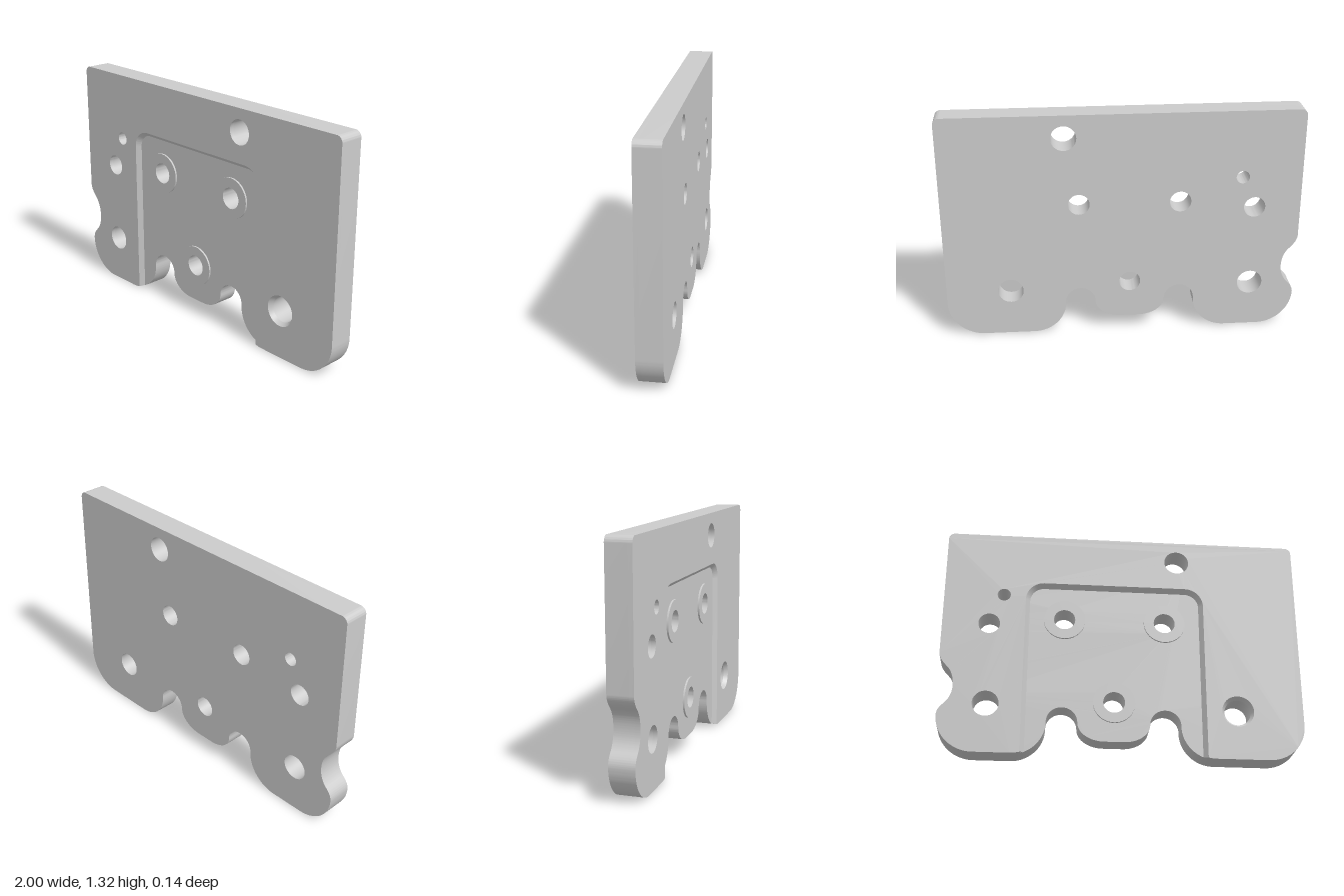
import * as THREE from 'three';
import { toCreasedNormals } from 'three/addons/utils/BufferGeometryUtils.js';

const PI = Math.PI;
const HALF = 0.07;        // half of the plate thickness
const FLOOR = 0.045;      // z of the pocket floor
const SLOPE = 0.024;      // how far the pocket walls lean
const R = 0.185;          // radius of the feet beside the pocket
const FOOT_L = -0.595, FOOT_R = 0.51;
const POCKET = { left: -0.44, right: 0.36, top: 0.915, r: 0.104 }; // corner centres and rim radius
const SINK = { x: 0.637, y: 0.275, r: 0.072, rim: 0.088 };         // countersunk hole

// x, y, radius
const plainHoles = [
  [0.317, 1.19, 0.07], [-0.667, 0.935, 0.037], [-0.741, 0.752, 0.06], [-0.736, 0.275, 0.072],
];
const bossHoles = [[-0.323, 0.8, 0.06], [0.241, 0.8, 0.06], [-0.042, 0.31, 0.06]];

// Height of a foot's round underside at x
const footY = (x, cx) => R - Math.sqrt(R * R - (x - cx) ** 2);

// Rim x of the pocket, and the matching angles on the two feet
const rimL = POCKET.left - POCKET.r, rimR = POCKET.right + POCKET.r;
const angL = -Math.acos((rimL - FOOT_L) / R);
const angR = -Math.acos((rimR - FOOT_R) / R);

// Outline from the left pocket rim, clockwise over the top, to the right pocket rim
function outerEdge(s) {
  s.absarc(FOOT_L, R, R, angL, -PI / 2, true);
  s.absarc(-0.79, 0.203, 0.203, -PI / 2, -PI, true);
  s.bezierCurveTo(-0.99, 0.235, -0.975, 0.25, -0.95, 0.275);
  s.bezierCurveTo(-0.925, 0.305, -0.915, 0.335, -0.915, 0.375);
  s.bezierCurveTo(-0.915, 0.415, -0.925, 0.455, -0.955, 0.485);
  s.bezierCurveTo(-0.975, 0.505, -1, 0.535, -1, 0.565);
  s.absarc(-0.965, 1.285, 0.035, PI, PI / 2, true);
  s.absarc(0.965, 1.285, 0.035, PI / 2, 0, true);
  s.absarc(0.795, 0.205, 0.205, 0, -PI / 2, true);
  s.absarc(FOOT_R, R, R, -PI / 2, angR, true);
}

// Holes run counter to the clockwise outlines
function addHoles(shape, holes) {
  for (const [x, y, r] of holes) {
    shape.holes.push(new THREE.Path().absarc(x, y, r, 0, 2 * PI, false));
  }
}

function extrude(shape, z0, z1) {
  const g = new THREE.ExtrudeGeometry(shape, { depth: z1 - z0, bevelEnabled: false, curveSegments: 20 });
  return g.translate(0, 0, z0);
}

// Full outline with the two arches and the central lobe
function basePlate() {
  const s = new THREE.Shape();
  s.moveTo(rimL, footY(rimL, FOOT_L));
  outerEdge(s);
  s.absarc(FOOT_R, R, R, angR, -PI, true);
  s.absarc(0.24, 0.19, 0.085, 0, PI, false);
  s.absellipse(0.01, 0.19, 0.145, 0.104, 0, -PI / 2, true);
  s.absellipse(-0.095, 0.19, 0.145, 0.104, -PI / 2, -PI, true);
  s.absarc(-0.325, 0.19, 0.085, 0, PI, false);
  s.absarc(FOOT_L, R, R, 0, angL, true);
  addHoles(s, [...plainHoles, ...bossHoles, [SINK.x, SINK.y, SINK.r]]);
  return extrude(s, -HALF, FLOOR);
}

// Front layer around the pocket, with leaning walls and a countersunk hole
function pocketFrame() {
  const { left, right, top, r } = POCKET;
  const s = new THREE.Shape();
  s.moveTo(rimL, footY(rimL, FOOT_L));
  outerEdge(s);
  s.absarc(right, top, r, 0, PI / 2, false);
  s.absarc(left, top, r, PI / 2, PI, false);
  addHoles(s, [...plainHoles, [SINK.x, SINK.y, SINK.rim]]);
  const g = extrude(s, FLOOR, HALF);

  // Pull the deep edges of the pocket and of the countersink inward
  const p = g.attributes.position;
  for (let i = 0; i < p.count; i++) {
    if (p.getZ(i) > FLOOR + 0.001) continue;
    const x = p.getX(i), y = p.getY(i);
    const cx = THREE.MathUtils.clamp(x, left, right), cy = Math.min(y, top);
    if (Math.hypot(x - cx, y - cy) < r + 0.0005) {
      const k = (r - SLOPE) / r;
      const nx = cx + (x - cx) * k;
      const ny = y < 0.1 ? footY(nx, x < 0 ? FOOT_L : FOOT_R) : cy + (y - cy) * k;
      p.setXY(i, nx, ny);
    } else if (Math.hypot(x - SINK.x, y - SINK.y) < SINK.rim + 0.01) {
      const k = SINK.r / SINK.rim;
      p.setXY(i, SINK.x + (x - SINK.x) * k, SINK.y + (y - SINK.y) * k);
    }
  }
  return g;
}

// Low raised ring around a pocket hole
function bossRing([x, y, r]) {
  const s = new THREE.Shape().absarc(x, y, 0.116, 0, 2 * PI, true);
  addHoles(s, [[x, y, r]]);
  return extrude(s, FLOOR, FLOOR + 0.01);
}

export function createModel() {
  const model = new THREE.Group();
  model.name = 'mountingPlate';
  const material = new THREE.MeshStandardMaterial({ color: 0xcccccc });
  const add = (name, geometry) => {
    const mesh = new THREE.Mesh(toCreasedNormals(geometry, PI / 6), material);
    mesh.name = name;
    model.add(mesh);
  };
  add('basePlate', basePlate());
  add('pocketFrame', pocketFrame());
  bossHoles.forEach((h, i) => add(`bossRing${i + 1}`, bossRing(h)));
  return model;
}
